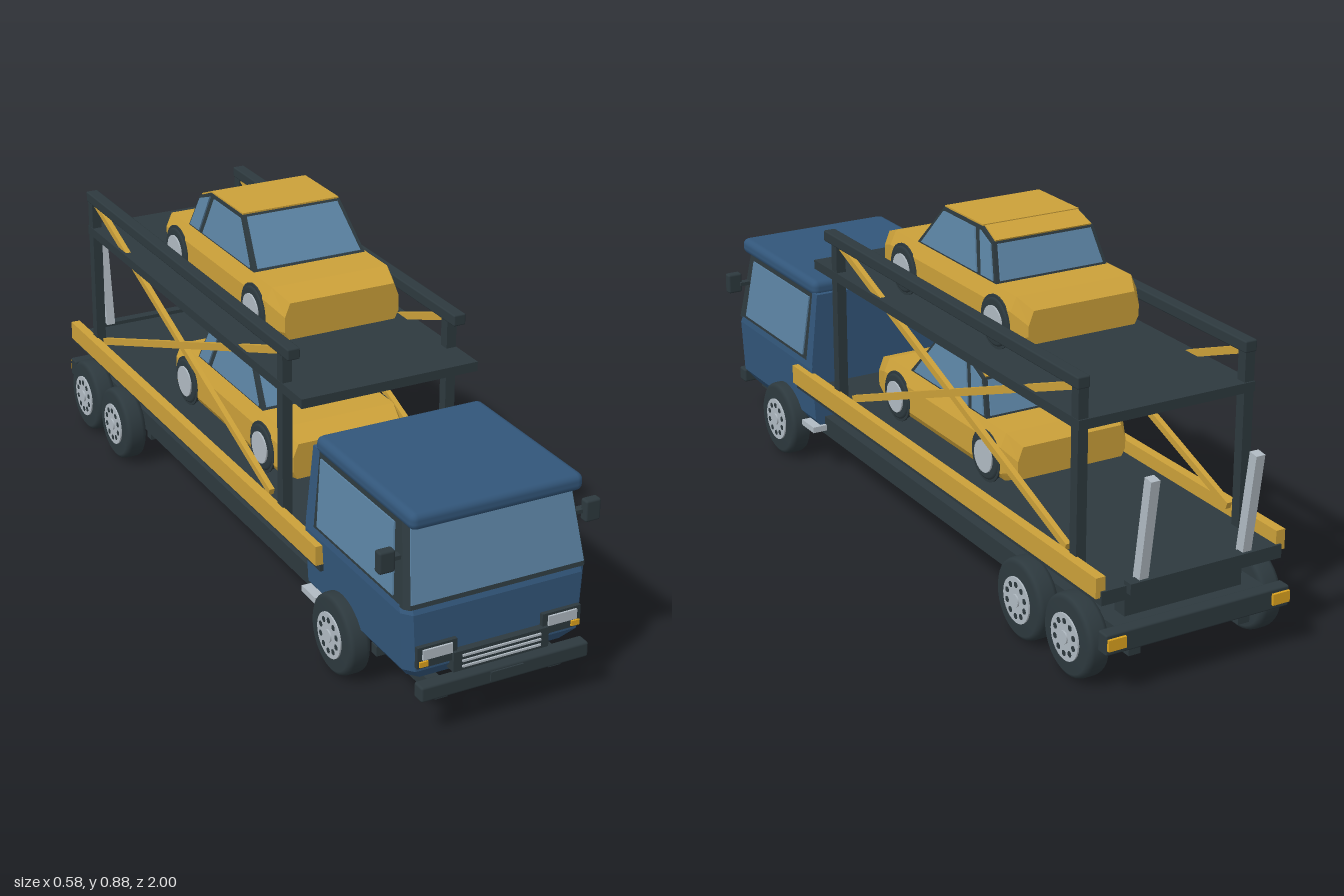
import * as THREE from 'three';
import { RoundedBoxGeometry } from 'three/addons/geometries/RoundedBoxGeometry.js';

const material = (name, color) => {
  const m = new THREE.MeshStandardMaterial({ color });
  m.name = name;
  return m;
};

export function createModel() {
  const blue = material('cab blue', 0x32567a);
  const dark = material('dark steel', 0x2d393e);
  const yellow = material('yellow paint', 0xcba039);
  const glass = material('window glass', 0x5b83a3);
  const silver = material('silver metal', 0xb0bac2);
  const amber = material('amber lamp', 0xdca31e);

  const root = new THREE.Group();
  root.name = 'carTransporter';

  const add = (parent, name, geometry, mat, x = 0, y = 0, z = 0) => {
    const mesh = new THREE.Mesh(geometry, mat);
    mesh.name = name;
    mesh.position.set(x, y, z);
    parent.add(mesh);
    return mesh;
  };
  // Box given by its extents on each axis
  const box = (parent, name, mat, [x0, x1], [y0, y1], [z0, z1], r = 0) => {
    const s = [x1 - x0, y1 - y0, z1 - z0];
    const g = r ? new RoundedBoxGeometry(...s, 2, r) : new THREE.BoxGeometry(...s);
    return add(parent, name, g, mat, (x0 + x1) / 2, (y0 + y1) / 2, (z0 + z1) / 2);
  };
  // Flat-shaded solid through rings of points, right-handed about the loft axis
  const loft = (rings) => {
    const pos = [], n = rings[0].length;
    const tri = (...pts) => pts.forEach((p) => pos.push(...p));
    for (let k = 0; k + 1 < rings.length; k++) {
      for (let i = 0; i < n; i++) {
        const j = (i + 1) % n, a = rings[k], b = rings[k + 1];
        tri(a[i], a[j], b[j]);
        tri(a[i], b[j], b[i]);
      }
    }
    const end = rings[rings.length - 1];
    for (let i = 1; i + 1 < n; i++) {
      tri(rings[0][0], rings[0][i + 1], rings[0][i]);
      tri(end[0], end[i], end[i + 1]);
    }
    const g = new THREE.BufferGeometry();
    g.setAttribute('position', new THREE.Float32BufferAttribute(pos, 3));
    g.computeVertexNormals();
    return g;
  };
  // Thin plate standing proud of a face; corners run anticlockwise from outside
  const plate = (parent, name, mat, pts, t = 0.004) => {
    const v = pts.map((p) => new THREE.Vector3(...p));
    const n = v[1].clone().sub(v[0]).cross(v[2].clone().sub(v[0])).normalize().multiplyScalar(t);
    add(parent, name, loft([pts, v.map((p) => p.clone().add(n).toArray())]), mat);
  };
  const mirror = (pts) => pts.map(([x, y, z]) => [-x, y, z]).reverse();
  const sidePlates = (parent, name, mat, pts) => {
    plate(parent, name, mat, pts);
    plate(parent, name, mat, mirror(pts));
  };
  const disc = (r, w, seg = 28) => new THREE.CylinderGeometry(r, r, w, seg).rotateZ(Math.PI / 2);

  // Wheel with its outer face towards side s
  const wheel = (parent, s, x, y, z, r, w, holes) => {
    const g = new THREE.Group();
    g.name = 'wheel';
    g.position.set(s * x, y, z);
    parent.add(g);
    const h = w / 2;
    const profile = [[0, -h], [r * 0.88, -h], [r * 0.97, -h * 0.8], [r, -h * 0.5], [r, h * 0.5],
      [r * 0.97, h * 0.8], [r * 0.88, h], [0, h]].map((p) => new THREE.Vector2(...p));
    add(g, 'tyre', new THREE.LatheGeometry(profile, 32).rotateZ(Math.PI / 2), dark);
    add(g, 'rim', disc(r * (holes ? 0.57 : 0.68), 0.008), silver, s * h);
    if (holes) add(g, 'hubCap', disc(r * 0.16, 0.016, 12), silver, s * h);
    for (let i = 0; i < holes; i++) {
      const a = (i / holes) * Math.PI * 2;
      add(g, 'rimHole', disc(r * 0.075, 0.004, 8), dark, s * (h + 0.003), Math.cos(a) * r * 0.4, Math.sin(a) * r * 0.4);
    }
  };

  // Cab: horizontal sections with chamfered front corners
  const cab = new THREE.Group();
  cab.name = 'cab';
  root.add(cab);
  const section = (y, hw, zf, zb = 0.475, c = 0.025) => [
    [-hw, y, zb], [-hw, y, zf - c], [-hw + c * 0.8, y, zf], [hw - c * 0.8, y, zf], [hw, y, zf - c], [hw, y, zb]];
  add(cab, 'lowerCab', loft([section(0.115, 0.205, 0.925), section(0.15, 0.232, 0.953),
    section(0.295, 0.24, 0.953), section(0.312, 0.238, 0.945)]), blue);
  add(cab, 'windowFrame', loft([section(0.308, 0.238, 0.95, 0.5, 0.014), section(0.505, 0.218, 0.905, 0.5, 0.014)]), dark);
  add(cab, 'rearWall', loft([section(0.31, 0.2395, 0.512, 0.475, 0.002), section(0.505, 0.2195, 0.505, 0.475, 0.002)]), blue);
  box(cab, 'roof', blue, [-0.223, 0.223], [0.494, 0.538], [0.487, 0.942], 0.018);
  const frontZ = (y) => 0.95 - ((y - 0.308) / 0.197) * 0.045;
  const cabX = (y) => 0.238 - ((y - 0.308) / 0.197) * 0.02;
  plate(cab, 'windscreen', glass, [[-0.225, 0.32, frontZ(0.32)], [0.225, 0.32, frontZ(0.32)],
    [0.208, 0.492, frontZ(0.492)], [-0.208, 0.492, frontZ(0.492)]]);
  sidePlates(cab, 'sideWindow', glass, [[0.893, 0.322], [0.532, 0.322], [0.517, 0.488], [0.865, 0.488]]
    .map(([z, y]) => [cabX(y), y, z]));

  // Grille, lamps, mirrors and bumper
  box(cab, 'grille', dark, [-0.125, 0.125], [0.135, 0.185], [0.94, 0.972]);
  for (const y of [0.146, 0.16, 0.174]) box(cab, 'grilleBar', silver, [-0.103, 0.103], [y - 0.0025, y + 0.0025], [0.97, 0.976]);
  box(cab, 'frontBumper', dark, [-0.22, 0.22], [0.094, 0.133], [0.96, 0.996], 0.006);
  box(cab, 'blankPlate', dark, [-0.043, 0.043], [0.104, 0.127], [0.99, 1.0]);
  for (const s of [-1, 1]) {
    const span = (a, b) => [Math.min(s * a, s * b), Math.max(s * a, s * b)];
    box(cab, 'headlampHousing', dark, span(0.112, 0.214), [0.163, 0.216], [0.935, 0.964]);
    box(cab, 'headlamp', silver, span(0.126, 0.202), [0.185, 0.21], [0.96, 0.969]);
    box(cab, 'indicator', amber, span(0.188, 0.21), [0.168, 0.181], [0.96, 0.969]);
    box(cab, 'mirror', dark, span(0.247, 0.288), [0.395, 0.45], [0.893, 0.918], 0.006);
    box(cab, 'mirrorArm', dark, span(0.22, 0.255), [0.415, 0.425], [0.885, 0.905]);
    box(cab, 'cabStep', silver, span(0.19, 0.245), [0.118, 0.134], [0.465, 0.535]);

    // Chassis rails, deck side rails and tail lamps
    box(root, 'chassisRail', dark, span(0.134, 0.166), [0.072, 0.105], [-0.95, 0.965]);
    box(root, 'deckSideRail', yellow, span(0.232, 0.257), [0.236, 0.286], [-0.95, 0.56]);
    box(root, 'tailLamp', amber, span(0.2, 0.247), [0.122, 0.15], [-0.992, -0.955]);

    // Upper deck frame
    for (const z of [0.335, -0.822]) box(root, 'deckPost', dark, span(0.21, 0.236), [0.24, 0.69], [z - 0.014, z + 0.014]);
    box(root, 'handRail', dark, span(0.207, 0.24), [0.685, 0.714], [-0.838, 0.385], 0.004);
    for (const [z0, z1] of [[0.315, -0.78], [-0.81, 0.26]]) {
      const dz = z1 - z0, dy = 0.285 - 0.685;
      const brace = add(root, 'diagonalBrace', new THREE.BoxGeometry(0.014, 0.018, Math.hypot(dz, dy)), yellow,
        s * 0.222, 0.485, (z0 + z1) / 2);
      brace.rotation.x = -Math.atan(dy / dz);
    }

    // Folded loading ramps
    const ramp = add(root, 'loadingRamp', new THREE.BoxGeometry(0.024, 0.255, 0.026), silver, s * 0.14, 0.385, -0.968);
    ramp.rotation.x = -0.14;

    for (const z of [0.65, -0.635, -0.845]) wheel(root, s, 0.237, 0.1, z, 0.1, 0.058, 10);
  }

  // Lower frame and decks
  box(root, 'lowerFrame', dark, [-0.205, 0.205], [0.104, 0.156], [-0.955, 0.6]);
  box(root, 'rearBumper', dark, [-0.25, 0.25], [0.108, 0.16], [-0.985, -0.95], 0.005);
  box(root, 'mainDeck', dark, [-0.245, 0.245], [0.218, 0.252], [-0.955, 0.56]);
  box(root, 'rampHinge', dark, [-0.18, 0.18], [0.235, 0.262], [-0.972, -0.945]);
  box(root, 'upperDeck', dark, [-0.237, 0.237], [0.59, 0.614], [-0.84, 0.45]);
  for (const z of [0.65, -0.635, -0.845]) {
    add(root, 'axle', disc(0.018, 0.44, 12), dark, 0, 0.1, z);
    box(root, 'crossMember', dark, [-0.2, 0.2], [0.08, 0.105], [z + 0.08, z + 0.105]);
  }
  for (const z of [-0.9, -0.2, 0.4]) box(root, 'deckSupport', dark, [-0.16, 0.16], [0.15, 0.22], [z - 0.02, z + 0.02]);

  // Carried saloon car, in upper deck coordinates
  const car = (name, dy, dz) => {
    const g = new THREE.Group();
    g.name = name;
    g.position.set(0, dy, dz);
    root.add(g);
    const ring = (z, w, y0, y1) => [[-w * 0.93, y0, z], [w * 0.93, y0, z], [w, y0 + 0.02, z], [w, y1 - 0.035, z],
      [w * 0.91, y1, z], [-w * 0.91, y1, z], [-w, y1 - 0.035, z], [-w, y0 + 0.02, z]];
    add(g, 'carBody', loft([ring(-0.49, 0.152, 0.66, 0.742), ring(-0.445, 0.174, 0.645, 0.767),
      ring(0.14, 0.174, 0.645, 0.767), ring(0.205, 0.156, 0.652, 0.746)]), yellow);
    const hw = (y) => 0.155 - ((y - 0.762) / 0.12) * 0.02;
    const outline = [[0.038, 0.762], [-0.348, 0.762], [-0.306, 0.857], [-0.25, 0.88], [-0.068, 0.88]];
    const at = (s) => outline.map(([z, y]) => [s * hw(y), y, z]);
    add(g, 'cabinFrame', loft([at(-1), at(1)]), dark);
    // Cross plate between two outline points, narrowed by an inset
    const across = (part, mat, [z0, y0], [z1, y1], inset) => plate(g, part, mat, [
      [-hw(y0) + inset, y0, z0], [hw(y0) - inset, y0, z0], [hw(y1) - inset, y1, z1], [-hw(y1) + inset, y1, z1]]);
    across('carRoof', yellow, outline[4], outline[3], 0.002);
    across('roofRear', yellow, [-0.252, 0.8792], outline[2], 0.006);
    const mix = (a, b, t) => [a[0] + (b[0] - a[0]) * t, a[1] + (b[1] - a[1]) * t];
    across('carWindscreen', glass, mix(outline[0], outline[4], 0.08), mix(outline[0], outline[4], 0.95), 0.011);
    // Rear window corners run from top to bottom as seen from behind
    across('carRearWindow', glass, mix(outline[2], outline[1], 0.06), mix(outline[2], outline[1], 0.9), 0.011);
    for (const pts of [[[0.012, 0.772], [-0.258, 0.772], [-0.222, 0.871], [-0.072, 0.871]],
      [[-0.28, 0.772], [-0.334, 0.772], [-0.3, 0.851], [-0.246, 0.871]]]) {
      sidePlates(g, 'carSideWindow', glass, pts.map(([z, y]) => [hw(y), y, z]));
    }
    for (const s of [-1, 1]) {
      for (const z of [0.07, -0.378]) {
        add(g, 'wheelArch', disc(0.066, 0.004), dark, s * 0.1735, 0.688, z);
        wheel(g, s, 0.166, 0.688, z, 0.06, 0.028, 0);
      }
    }
  };
  car('upperCar', 0, 0);
  car('lowerCar', -0.355, 0.043);
  return root;
}
